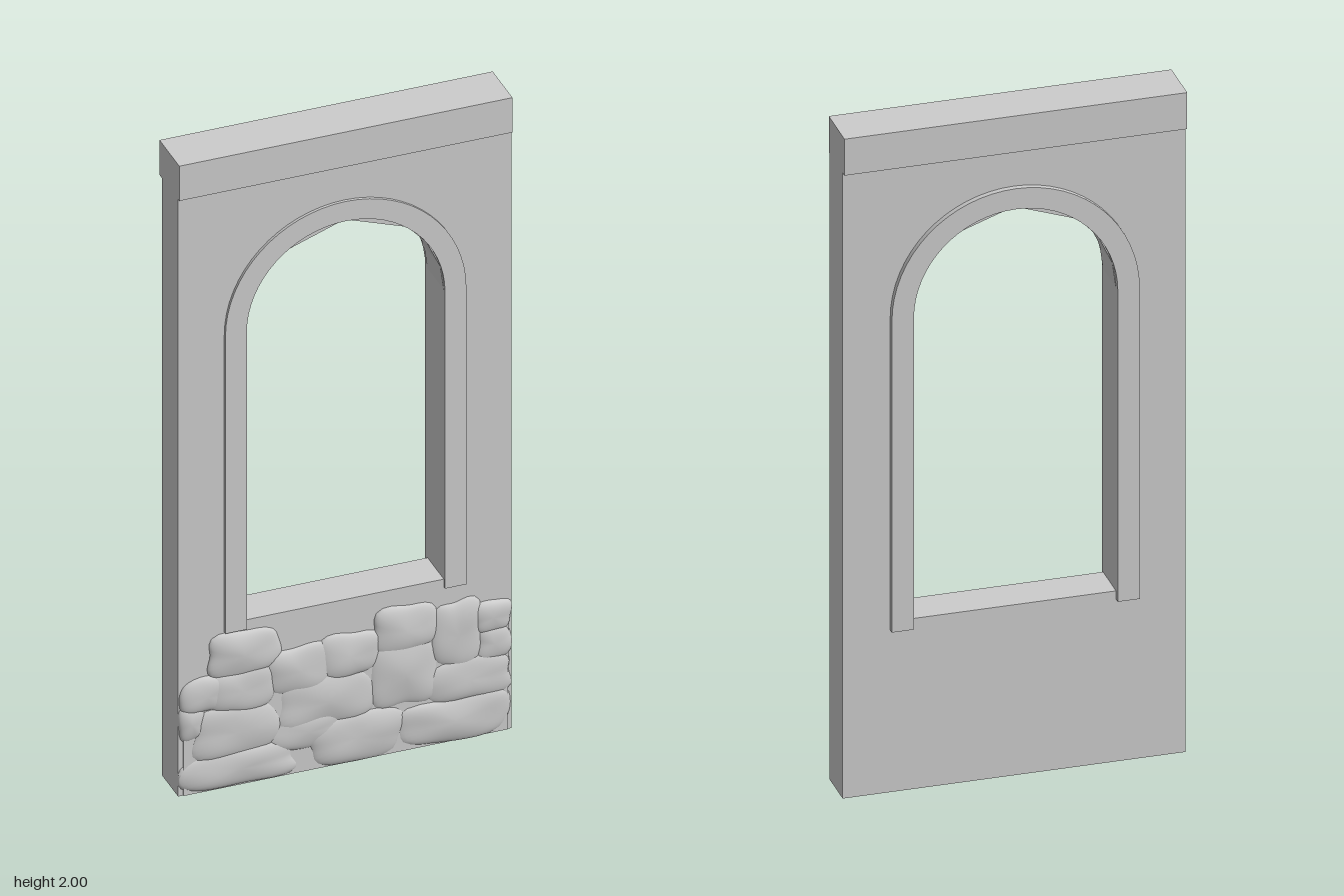
import * as THREE from 'three';
import { mergeVertices, toCreasedNormals } from 'three/addons/utils/BufferGeometryUtils.js';

const HALF_W = 0.484, WALL_FRONT = 0.054, WALL_BACK = -0.066;
const TRIM_FRONT = 0.063, TRIM_BACK = -0.083;
const SPRING = 1.43, R_IN = 0.288, R_OUT = 0.35;

const material = new THREE.MeshStandardMaterial({ color: 0xcccccc, roughness: 0.9 });

function add(group, name, geometry) {
  const mesh = new THREE.Mesh(geometry, material);
  mesh.name = name;
  group.add(mesh);
  return mesh;
}

// Points over an arch from right to left
function archPoints(radius, angles) {
  return angles.map(a => new THREE.Vector2(radius * Math.cos(a), SPRING + radius * Math.sin(a)));
}

function extrude(shape, z0, z1) {
  const g = new THREE.ExtrudeGeometry(shape, { depth: z1 - z0, bevelEnabled: false });
  g.translate(0, 0, z0);
  return g;
}

// Wall slab with a coarsely faceted arched opening
function wallGeometry() {
  const shape = new THREE.Shape([
    new THREE.Vector2(-HALF_W, 0), new THREE.Vector2(HALF_W, 0),
    new THREE.Vector2(HALF_W, 1.9), new THREE.Vector2(-HALF_W, 1.9)]);
  const angles = [0, 0.27, 0.6, 0.89, Math.PI / 2];
  const all = [...angles, ...angles.slice(0, -1).reverse().map(a => Math.PI - a)];
  shape.holes.push(new THREE.Path([
    new THREE.Vector2(-R_IN, 0.515), new THREE.Vector2(R_IN, 0.515), ...archPoints(R_IN, all)]));
  return extrude(shape, WALL_BACK, WALL_FRONT);
}

// Smooth raised band that follows the opening
function trimGeometry(z0, z1) {
  const angles = Array.from({ length: 33 }, (_, i) => Math.PI * i / 32);
  const shape = new THREE.Shape([
    new THREE.Vector2(R_OUT, 0.49), ...archPoints(R_OUT, angles),
    new THREE.Vector2(-R_OUT, 0.49), new THREE.Vector2(-R_IN, 0.49),
    ...archPoints(R_IN, angles).reverse(), new THREE.Vector2(R_IN, 0.49)]);
  return toCreasedNormals(extrude(shape, z0, z1), 0.6);
}

// Pillow-shaped stone: a squared, wobbly half sphere facing +z
function stoneGeometry([x0, x1, y0, y1, depth], seed) {
  let g = new THREE.SphereGeometry(1, 32, 12, 0, Math.PI * 2, 0, Math.PI / 2);
  g.rotateX(Math.PI / 2);
  g.deleteAttribute('uv');
  g.deleteAttribute('normal');
  g = mergeVertices(g, 1e-4);
  const p = g.attributes.position;
  for (let i = 0; i < p.count; i++) {
    const x = p.getX(i), y = p.getY(i), z = Math.max(0, p.getZ(i));
    const a = Math.atan2(y, x), r = Math.hypot(x, y);
    const square = 1 / Math.pow(Math.cos(a) ** 4 + Math.sin(a) ** 4, 0.25);
    const wobble = 1 + 0.05 * Math.sin(3 * a + seed * 1.7) + 0.03 * Math.sin(5 * a + seed * 2.9);
    const px = (x0 + x1) / 2 + Math.cos(a) * r * square * wobble * (x1 - x0) / 2;
    const py = (y0 + y1) / 2 + Math.sin(a) * r * square * wobble * (y1 - y0) / 2;
    const bump = 1 + 0.12 * Math.sin(px * 27 + seed) * Math.cos(py * 31 + seed * 2);
    p.setXYZ(i,
      THREE.MathUtils.clamp(px, -HALF_W, HALF_W), Math.max(0.001, py),
      WALL_FRONT - 0.004 + depth * Math.pow(z, 0.8) * bump);
  }
  g.computeVertexNormals();
  return g;
}

export function createModel() {
  const model = new THREE.Group();
  model.name = 'archedWindowWall';

  add(model, 'wall', wallGeometry());

  // Top ledge, proud of both faces
  const ledge = new THREE.BoxGeometry(HALF_W * 2, 0.11, TRIM_FRONT - TRIM_BACK);
  add(model, 'topLedge', ledge).position.set(0, 1.945, (TRIM_FRONT + TRIM_BACK) / 2);

  add(model, 'frontArchTrim', trimGeometry(WALL_FRONT, TRIM_FRONT));
  add(model, 'backArchTrim', trimGeometry(TRIM_BACK, WALL_BACK));

  // Stone facing along the foot of the front: left, right, bottom, top, depth
  const stones = new THREE.Group();
  stones.name = 'stoneFacing';
  model.add(stones);
  const layout = [
    [-0.40, -0.19, 0.34, 0.485, 0.024],
    [-0.48, -0.33, 0.25, 0.36, 0.023],
    [-0.40, -0.20, 0.23, 0.37, 0.025],
    [-0.485, -0.41, 0.17, 0.28, 0.020],
    [-0.45, -0.19, 0.09, 0.26, 0.025],
    [-0.485, -0.14, 0.00, 0.12, 0.025],
    [-0.23, -0.03, 0.25, 0.40, 0.023],
    [-0.08, 0.10, 0.27, 0.41, 0.024],
    [-0.20, 0.09, 0.13, 0.30, 0.025],
    [-0.22, 0.00, 0.07, 0.19, 0.022],
    [-0.11, 0.17, 0.00, 0.16, 0.026],
    [0.08, 0.27, 0.31, 0.46, 0.024],
    [0.07, 0.27, 0.14, 0.36, 0.025],
    [0.25, 0.40, 0.23, 0.44, 0.023],
    [0.37, 0.483, 0.32, 0.42, 0.023],
    [0.38, 0.483, 0.23, 0.34, 0.021],
    [0.23, 0.483, 0.12, 0.26, 0.024],
    [0.15, 0.483, 0.00, 0.145, 0.026],
  ];
  layout.forEach((s, i) => add(stones, 'stone' + (i + 1), stoneGeometry(s, i + 1)));

  // Thin mortar bed filling the joints between stones
  const bed = new THREE.Shape([
    [-0.47, 0.002], [0.47, 0.002], [0.475, 0.36], [0.35, 0.40], [0.22, 0.41], [0.10, 0.38],
    [-0.18, 0.36], [-0.23, 0.42], [-0.36, 0.42], [-0.40, 0.33], [-0.47, 0.32],
  ].map(([x, y]) => new THREE.Vector2(x, y)));
  add(stones, 'mortarBed', extrude(bed, WALL_FRONT - 0.01, WALL_FRONT + 0.006));

  return model;
}
